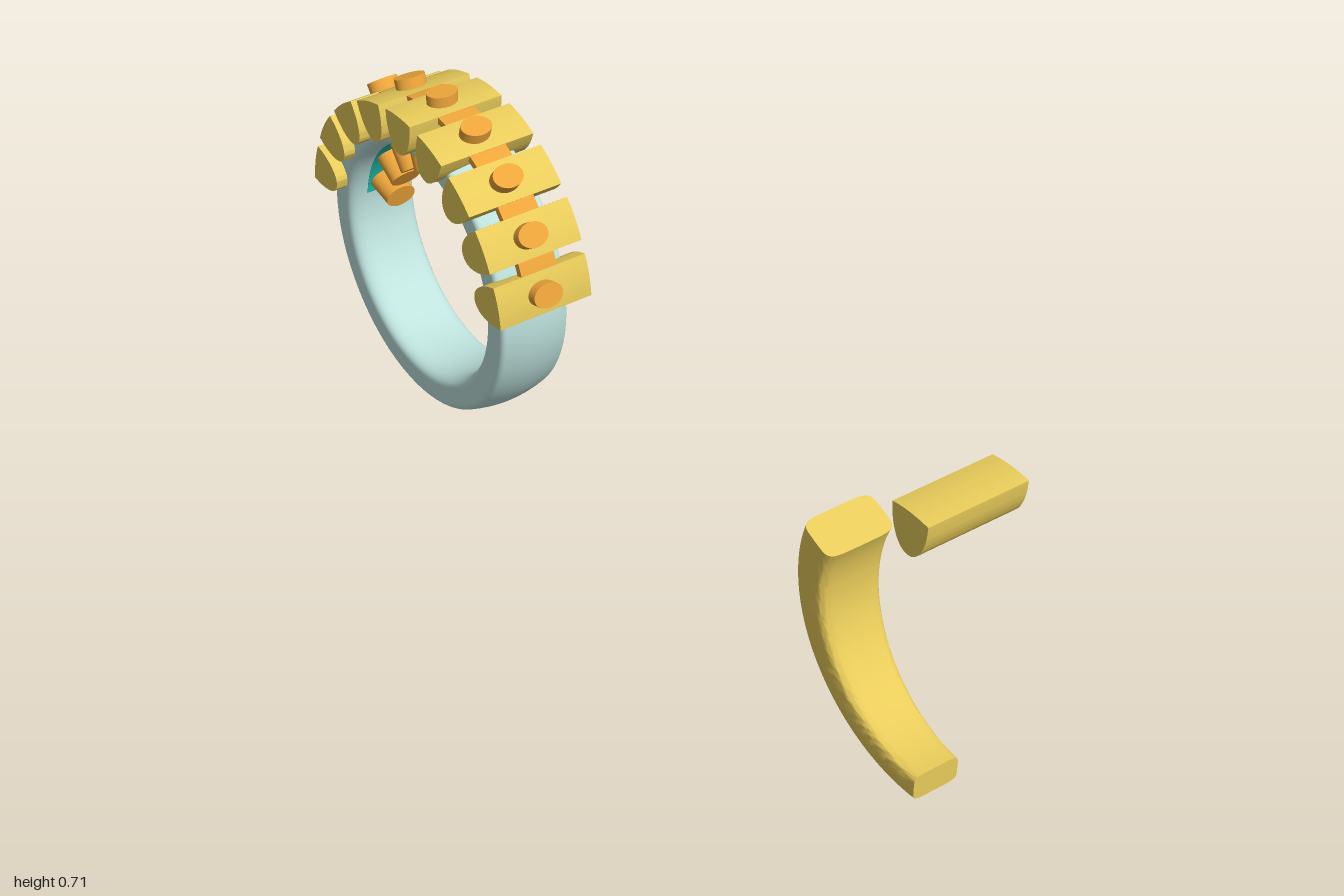
import * as THREE from 'three';
import { toCreasedNormals } from 'three/addons/utils/BufferGeometryUtils.js';

const CY = 0.334, RING_X = -0.622, LOOSE_X = 0.951, DEG = Math.PI / 180;
const mat = (color) => new THREE.MeshStandardMaterial({ color, side: THREE.DoubleSide });

function add(parent, name, geometry, material) {
  const mesh = new THREE.Mesh(geometry, material);
  mesh.name = name;
  parent.add(mesh);
  return mesh;
}

// Full band: rounded section turned about the z axis
function bandGeometry() {
  const w = 0.08;
  const s = new THREE.Shape();
  s.moveTo(0.27, -w);
  s.lineTo(0.308, -w);
  s.quadraticCurveTo(0.319, -w, 0.322, -w + 0.01);
  s.quadraticCurveTo(0.342, 0, 0.322, w - 0.01);
  s.quadraticCurveTo(0.319, w, 0.308, w);
  s.lineTo(0.275, w);
  s.quadraticCurveTo(0.254, w, 0.251, w - 0.035);
  s.lineTo(0.251, -w + 0.035);
  s.quadraticCurveTo(0.254, -w, 0.275, -w);
  return new THREE.LatheGeometry(s.getPoints(8), 128).rotateX(Math.PI / 2);
}

// Bar section: gently domed top, sides curving in to a rounded root
function barGeometry() {
  const s = new THREE.Shape();
  s.moveTo(-0.045, 0.356);
  s.lineTo(-0.044, 0.338);
  s.bezierCurveTo(-0.04, 0.305, -0.025, 0.272, 0, 0.272);
  s.bezierCurveTo(0.025, 0.272, 0.04, 0.305, 0.044, 0.338);
  s.lineTo(0.045, 0.356);
  s.quadraticCurveTo(0, 0.364, -0.045, 0.356);
  const g = new THREE.ExtrudeGeometry(s, { depth: 0.218, bevelEnabled: false, curveSegments: 16 });
  return toCreasedNormals(g.translate(0, 0, -0.109), 0.5);
}

// Flat arc strip between two radii, extruded along z
function arcGeometry(r0, r1, from, to, halfWidth) {
  const s = new THREE.Shape();
  s.absarc(0, 0, r1, from * DEG, to * DEG, false);
  s.absarc(0, 0, r0, to * DEG, from * DEG, true);
  const g = new THREE.ExtrudeGeometry(s, { depth: halfWidth * 2, bevelEnabled: false, curveSegments: 64 });
  return toCreasedNormals(g.translate(0, 0, -halfWidth), 0.5);
}

// Tapering half shank: soft rectangular sections swept round the arc
function shankGeometry() {
  const N = 48, M = 40, pos = [], idx = [];
  const soft = (v) => Math.sign(v) * Math.pow(Math.abs(v), 0.36);
  for (let i = 0; i <= N; i++) {
    const f = i / N, a = (157.5 + 112.5 * f) * DEG;
    const outer = 0.335 - 0.023 * f, inner = 0.249 + 0.008 * f;
    const mid = (outer + inner) / 2, h = (outer - inner) / 2, w = 0.077 - 0.026 * f;
    for (let j = 0; j < M; j++) {
      const t = (j / M) * Math.PI * 2;
      const r = mid + h * soft(Math.cos(t));
      pos.push(r * Math.cos(a), r * Math.sin(a), w * soft(Math.sin(t)));
      const k = (j + 1) % M, A = i * M + j, D = i * M + k;
      if (i < N) idx.push(A, A + M, D + M, A, D + M, D);
    }
  }
  for (let j = 1; j < M - 1; j++) {
    idx.push(0, j, j + 1);
    idx.push(N * M, N * M + j + 1, N * M + j);
  }
  const g = new THREE.BufferGeometry();
  g.setAttribute('position', new THREE.Float32BufferAttribute(pos, 3));
  g.setIndex(idx);
  return toCreasedNormals(g, 0.7);
}

export function createModel() {
  const gold = mat(0xe8cb5a), orange = mat(0xeda53a), pale = mat(0xbfe3de), teal = mat(0x1fbfae);
  const model = new THREE.Group();

  // Assembled ring
  const ring = new THREE.Group();
  ring.name = 'ring';
  ring.position.set(RING_X, CY, 0);
  model.add(ring);
  add(ring, 'band', bandGeometry(), pale).position.z = 0.003;
  add(ring, 'innerLiner', arcGeometry(0.2502, 0.256, 8, 172, 0.045), teal);
  add(ring, 'linkStrip', arcGeometry(0.343, 0.358, 14, 166, 0.042), orange);

  // Nine bars fanned over the top, each with an oval pin through it
  const bar = barGeometry();
  const pin = new THREE.CylinderGeometry(1, 1, 0.195, 32);
  pin.scale(0.026, 1, 0.034).translate(0, 0.2845, 0.003);
  for (let i = -4; i <= 4; i++) {
    const station = new THREE.Group();
    station.name = 'station';
    station.rotation.z = i * 19 * DEG;
    ring.add(station);
    add(station, 'bar', bar, gold);
    add(station, 'pin', pin, orange);
  }

  // Loose parts set to the side
  const loose = new THREE.Group();
  loose.name = 'looseParts';
  loose.position.set(LOOSE_X, CY, 0);
  model.add(loose);
  add(loose, 'looseBar', bar, gold);
  add(loose, 'halfShank', shankGeometry(), gold).position.z = 0.003;

  return model;
}
